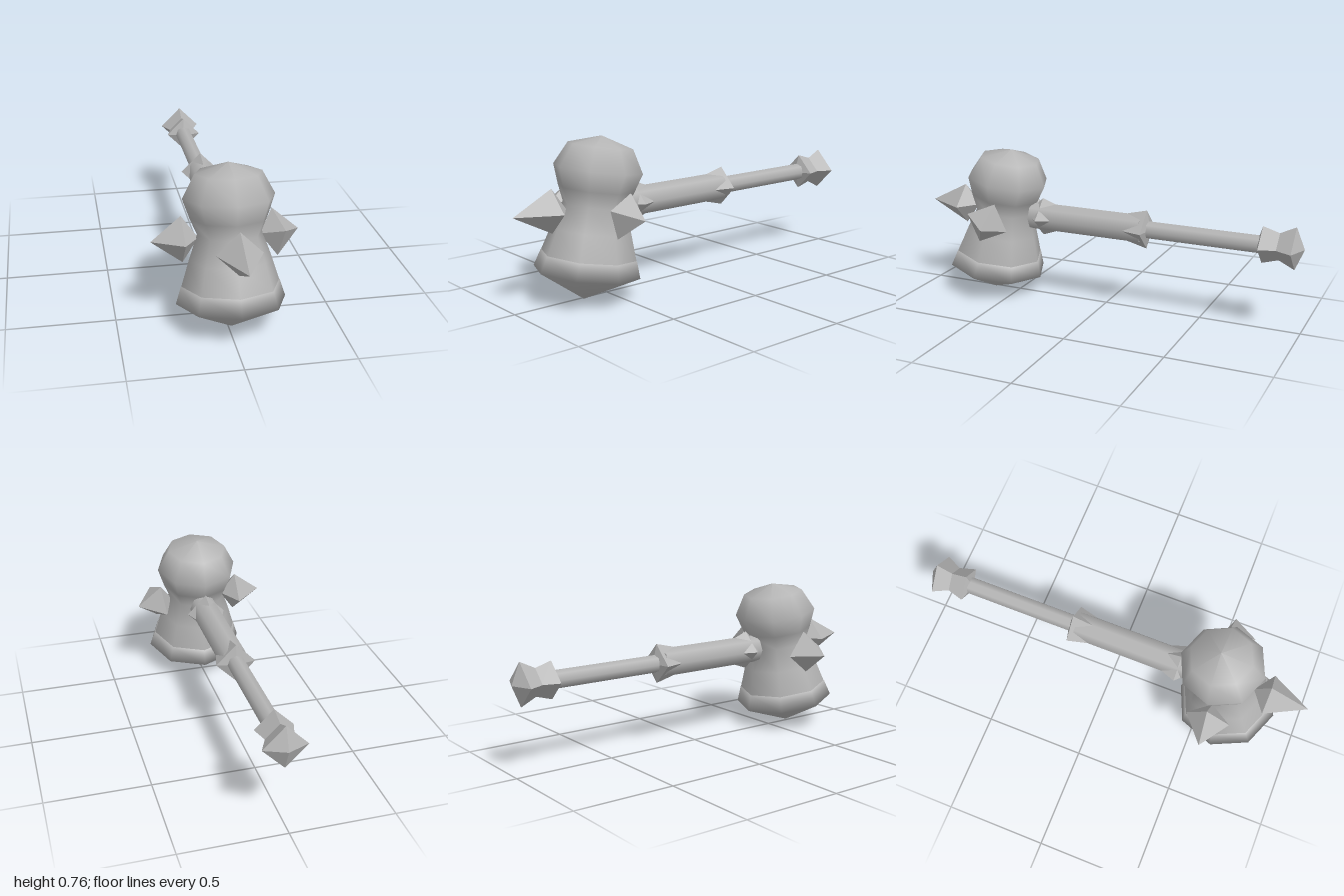
import * as THREE from 'three';

const CX = 0.015; // shaft line
const CY = 0.425;

export function createModel() {
  const model = new THREE.Group();
  model.name = 'spikedHammer';
  const steel = new THREE.MeshStandardMaterial({ color: 0xb4b4b4 });
  steel.name = 'steel grey';

  // Profile points are [radius, height], listed upward
  const turned = (profile, sides) =>
    new THREE.LatheGeometry(profile.map(([r, h]) => new THREE.Vector2(r, h)), sides);

  function add(parent, name, geometry) {
    const mesh = new THREE.Mesh(geometry, steel);
    mesh.name = name;
    parent.add(mesh);
    return mesh;
  }

  // Four-sided faceted stud whose own y axis points along dir
  function stud(name, profile, position, dir, roll = 0) {
    const geometry = turned(profile, 4).rotateY(roll).toNonIndexed();
    geometry.computeVertexNormals();
    const mesh = add(model, name, geometry);
    mesh.position.set(...position);
    mesh.quaternion.setFromUnitVectors(
      new THREE.Vector3(0, 1, 0), new THREE.Vector3(...dir).normalize());
    return mesh;
  }

  // Head: waisted eight-sided body and a blunt striking cap, leaning back
  const head = new THREE.Group();
  head.name = 'head';
  head.position.set(CX, 0.002, 0.64);
  head.rotation.x = -0.155;
  model.add(head);
  add(head, 'headBody', turned([
    [0.228, 0.17], [0.224, 0.21], [0.187, 0.33], [0.147, 0.445],
    [0.178, 0.52], [0.209, 0.612], [0.152, 0.72], [0, 0.766],
  ], 8));
  add(head, 'headCap', turned([
    [0, 0], [0.252, 0.128], [0.227, 0.207], [0.1, 0.27],
  ], 8));

  // Spikes: long tip outside, shallow point set into the waist
  const spike = [[0, -0.075], [0.108, 0], [0, 0.2]];
  stud('frontSpike', [[0, -0.075], [0.103, 0], [0, 0.2]], [CX, 0.445, 0.8], [0, 0, 1]);
  stud('rightSpike', [[0, -0.075], [0.108, 0], [0, 0.14]], [-0.2, 0.422, 0.565], [-1, -0.01, 0.03], 0.155);
  stud('leftSpike', [[0, -0.075], [0.108, 0], [0, 0.12]], [0.225, 0.422, 0.555], [1, -0.05, -0.26], -0.155);

  // Shaft: thick grip section and thinner rear section
  const rods = [
    ['thickShaft', 0.071, 0.4, -0.2],
    ['thinShaft', 0.044, -0.18, -0.9],
  ];
  for (const [name, radius, front, back] of rods) {
    const rod = add(model, name, new THREE.CylinderGeometry(radius, radius, front - back, 8));
    rod.rotation.x = Math.PI / 2;
    rod.position.set(CX, CY, (front + back) / 2);
  }

  // Collars and pommel: [name, z of widest ring, direction of taper, profile]
  const collars = [
    ['headCollar', 0.345, -1, [[0, -0.1], [0.097, 0], [0.07, 0.075], [0, 0.075]]],
    ['middleCollar', -0.222, 1, [[0, -0.022], [0.097, 0], [0.072, 0.1], [0, 0.1]]],
    ['rearCollar', -0.8, -1, [[0, -0.028], [0.09, 0], [0.065, 0.085], [0, 0.085]]],
    ['pommel', -0.957, 1, [[0, -0.043], [0.104, 0], [0.062, 0.085], [0, 0.085]]],
  ];
  for (const [name, z, taper, profile] of collars) {
    stud(name, profile, [CX, CY, z], [0, 0, taper]);
  }

  return model;
}
